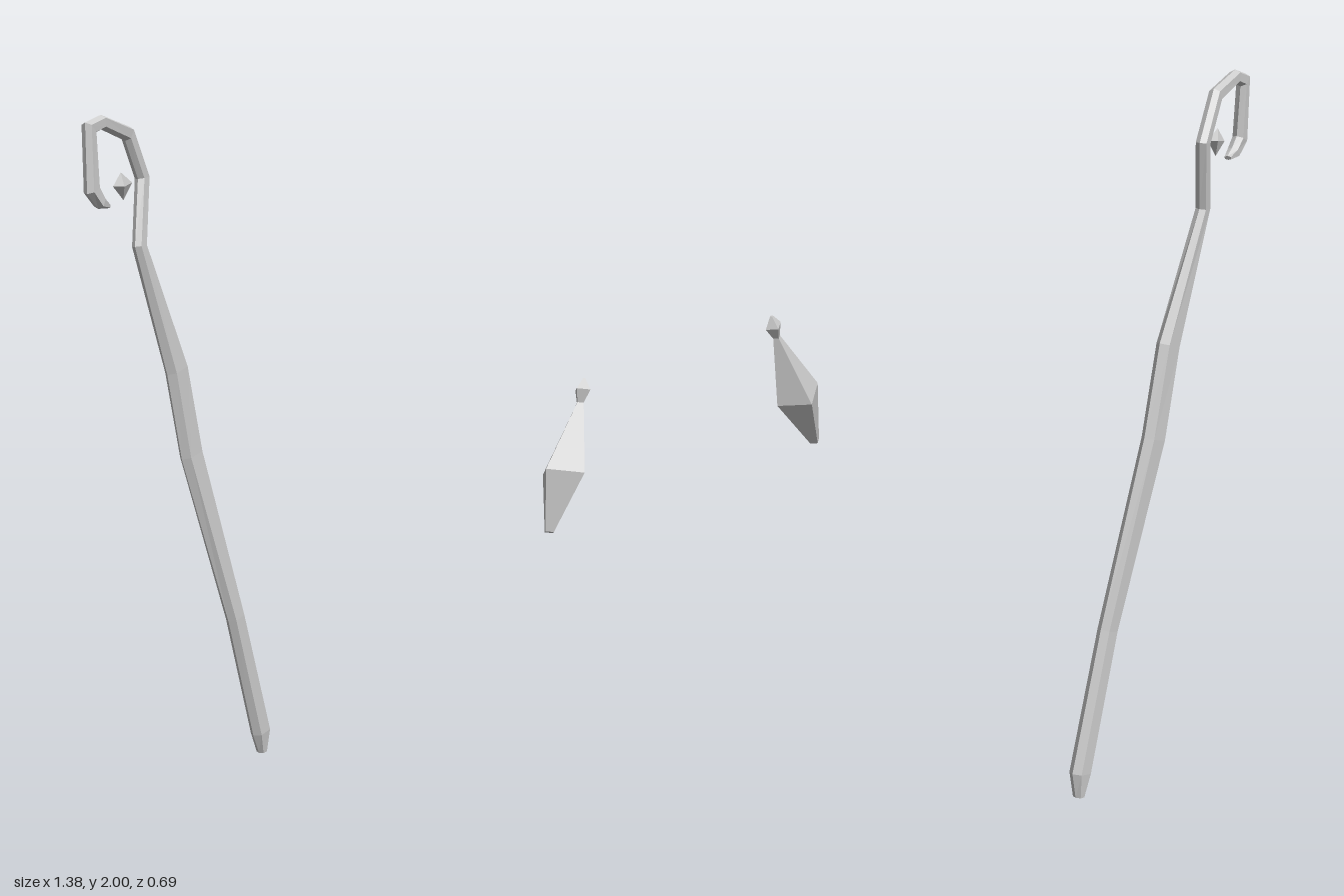
import * as THREE from 'three';

const material = new THREE.MeshStandardMaterial({ color: 0xcccccc, flatShading: true });
const V = (x, y, z) => new THREE.Vector3(x, y, z);

// Skin a list of rings (each counter-clockwise about the direction of travel) and cap both ends.
function loft(name, rings) {
  const n = rings[0].length, pos = [];
  const tri = (...pts) => pts.forEach((p) => pos.push(p.x, p.y, p.z));
  for (let i = 0; i < rings.length - 1; i++) {
    for (let j = 0; j < n; j++) {
      const k = (j + 1) % n, a = rings[i], b = rings[i + 1];
      tri(a[j], a[k], b[k]);
      tri(a[j], b[k], b[j]);
    }
  }
  const first = rings[0], last = rings[rings.length - 1];
  for (let j = 1; j < n - 1; j++) {
    tri(first[0], first[j + 1], first[j]);
    tri(last[0], last[j], last[j + 1]);
  }
  const geometry = new THREE.BufferGeometry();
  geometry.setAttribute('position', new THREE.Float32BufferAttribute(pos, 3));
  geometry.computeVertexNormals();
  const mesh = new THREE.Mesh(geometry, material);
  mesh.name = name;
  return mesh;
}

// Hooked staff: six-sided section swept along a bent path.
function createStaff() {
  // x, y, z, half width in the plane of the hook, half thickness, sideways turn of the section
  const path = [
    [-0.345, 0.005, -0.318, 0.014, 0.014, 0.5],
    [-0.347, 0.075, -0.31, 0.036, 0.022, 0.5],
    [-0.4, 0.47, -0.204, 0.033, 0.021, 0.5],
    [-0.497, 1.0, -0.069, 0.044, 0.022, 0.5],
    [-0.525, 1.26, -0.018, 0.044, 0.022, 0.45],
    [-0.596, 1.63, 0.103, 0.024, 0.016, 0.3],
    [-0.6, 1.82, 0.047, 0.025, 0.016, 0.25],
    [-0.622, 1.945, 0.112, 0.024, 0.016, 0.25],
    [-0.654, 1.982, 0.265, 0.02, 0.016, 0.25],
    [-0.67, 1.967, 0.325, 0.026, 0.016, 0.25],
    [-0.665, 1.8, 0.328, 0.027, 0.017, 0.25],
    [-0.652, 1.764, 0.298, 0.019, 0.016, 0.25],
    [-0.641, 1.752, 0.262, 0.006, 0.01, 0.25],
  ];
  const points = path.map((p) => V(p[0], p[1], p[2]));
  const section = [[1, -0.6], [1, 0.6], [0, 1], [-1, 0.6], [-1, -0.6], [0, -1]];
  const rings = path.map(([, , , width, thick, turn], i) => {
    const c = points[i], t = V(0, 0, 0);
    if (i > 0) t.add(c.clone().sub(points[i - 1]).normalize());
    if (i < points.length - 1) t.add(points[i + 1].clone().sub(c).normalize());
    t.normalize();
    const side = V(1, 0, turn).projectOnPlane(t).normalize();
    const across = t.clone().cross(side);
    return section.map(([s, a]) =>
      c.clone().addScaledVector(side, s * thick).addScaledVector(across, a * width));
  });
  return loft('staff', rings);
}

// Leaning four-sided crystal with a small pointed finial.
function createCrystal() {
  const corners = [V(-0.062, -0.015, -0.052), V(-0.044, 0.024, 0.06),
    V(0.062, 0.015, 0.052), V(0.044, -0.024, -0.06)];
  // centre x, y, z and size
  const levels = [
    [0.588, 0.858, 0.178, 0.22],
    [0.621, 1.015, 0.126, 1],
    [0.659, 1.205, 0.057, 0.16],
    [0.665, 1.24, 0.048, 0.36],
    [0.667, 1.272, 0.038, 0.06],
  ];
  return loft('crystal', levels.map(([x, y, z, s]) =>
    corners.map((k) => V(x, y, z).addScaledVector(k, s))));
}

// Small double-pointed gem floating inside the hook.
function createGem() {
  const middle = [V(-0.625, 1.812, 0.162), V(-0.635, 1.804, 0.225),
    V(-0.603, 1.804, 0.222), V(-0.597, 1.812, 0.162)];
  const point = (x, y, z) => middle.map(() => V(x, y, z));
  return loft('floatingGem', [point(-0.615, 1.765, 0.193), middle, point(-0.617, 1.843, 0.208)]);
}

export function createModel() {
  const group = new THREE.Group();
  group.name = 'staffAndCrystal';
  group.add(createStaff(), createCrystal(), createGem());
  return group;
}
